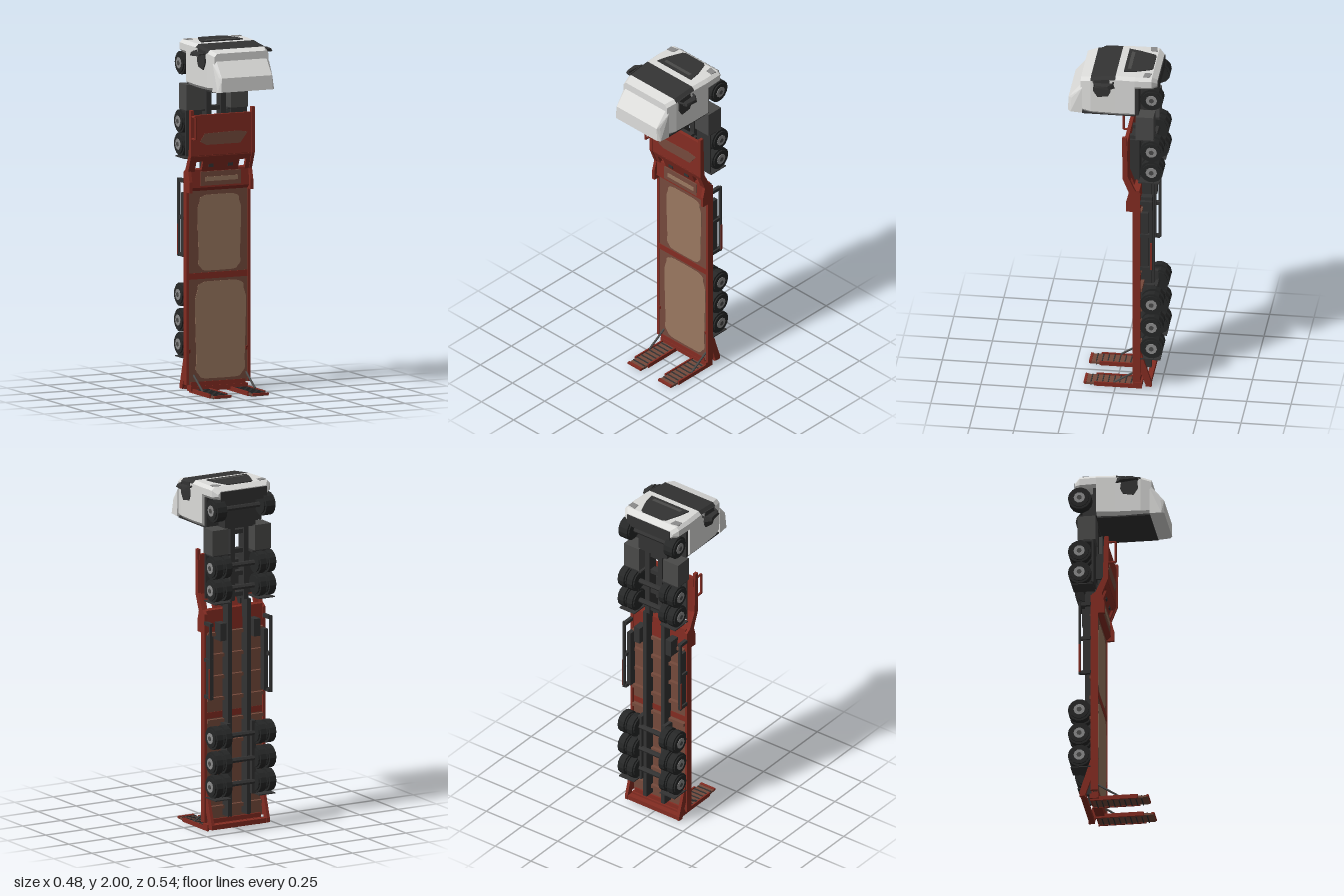
import * as THREE from 'three';
import { ConvexGeometry } from 'three/addons/geometries/ConvexGeometry.js';

const mat = (name, color, side = THREE.FrontSide) => {
  const m = new THREE.MeshStandardMaterial({ color, side, flatShading: true });
  m.name = name;
  return m;
};

export function createModel() {
  const root = new THREE.Group();
  root.name = 'lowLoaderTruck';
  const white = mat('cabWhite', 0xdcdcda), dark = mat('darkMetal', 0x333333);
  const tyre = mat('tyreRubber', 0x262727), hub = mat('hubGrey', 0x8c8c8c);
  const grey = mat('tankGrey', 0x4a4a49), red = mat('trailerRed', 0x842c22);
  const brown = mat('deckBrown', 0x754a3c), tan = mat('wornTan', 0x9a7860);

  const add = (name, geo, m) => {
    const mesh = new THREE.Mesh(geo, m);
    mesh.name = name;
    root.add(mesh);
    return mesh;
  };
  // box from its limits
  const box = (name, m, x0, x1, y0, y1, z0, z1) => add(name,
    new THREE.BoxGeometry(Math.abs(x1 - x0), y1 - y0, z1 - z0)
      .translate((x0 + x1) / 2, (y0 + y1) / 2, (z0 + z1) / 2), m);
  // mirrored pair of boxes
  const pair = (name, m, x0, x1, ...r) => [1, -1].forEach(s => box(name, m, s * x0, s * x1, ...r));
  const shapeOf = pts => new THREE.Shape(pts.map(p => new THREE.Vector2(...p)));
  const extrude = (pts, depth) => new THREE.ExtrudeGeometry(shapeOf(pts), { depth, bevelEnabled: false });
  // (z, y) outline extruded across x
  const sidePlate = (name, m, pts, x0, x1) => add(name,
    extrude(pts, x1 - x0).rotateY(-Math.PI / 2).translate(x1, 0, 0), m);
  // (x, z) outline extruded along y
  const nosePlate = (name, m, pts, y, d) => add(name,
    extrude(pts.map(([x, z]) => [x, -z]), d).rotateX(-Math.PI / 2).translate(0, y, 0), m);
  // square bar between two points
  const bar = (name, m, a, b, r = 0.006) => {
    const A = new THREE.Vector3(...a), B = new THREE.Vector3(...b), d = B.clone().sub(A);
    const mesh = add(name, new THREE.CylinderGeometry(r, r, d.length(), 6), m);
    mesh.position.copy(A).add(B).multiplyScalar(0.5);
    mesh.quaternion.setFromUnitVectors(new THREE.Vector3(0, 1, 0), d.normalize());
  };

  // cab shell: chamfered sections [z, half width, rear y, nose y]
  const sections = [
    [-0.235, 0.165, 1.925, 1.972], [-0.205, 0.19, 1.92, 1.994], [-0.11, 0.195, 1.92, 1.994],
    [-0.11, 0.195, 1.75, 1.994], [0, 0.19, 1.745, 1.992], [0.14, 0.185, 1.745, 1.975], [0.198, 0.168, 1.75, 1.96]];
  const ring = ([z, w, b, f]) => {
    const c = 0.018;
    return [[w, b + c], [w, f - c], [w - c, f], [c - w, f], [-w, f - c], [-w, b + c], [c - w, b], [w - c, b]]
      .map(([x, y]) => [x, y, z]);
  };
  const shell = [], glass = [];
  for (let s = 0; s < sections.length - 1; s++) {
    const a = ring(sections[s]), b = ring(sections[s + 1]);
    for (let i = 0; i < 8; i++) {
      const j = (i + 1) % 8;
      const out = s === 4 && i >= 1 && i <= 3 ? glass : shell;
      out.push(a[i], a[j], b[j], a[i], b[j], b[i]);
    }
  }
  const top = ring(sections[6]), low = ring(sections[0]);
  for (let i = 1; i < 7; i++) shell.push(top[0], top[i], top[i + 1], low[0], low[i + 1], low[i]);
  const fromTris = tris => {
    const g = new THREE.BufferGeometry();
    g.setAttribute('position', new THREE.Float32BufferAttribute(tris.flat(), 3));
    g.computeVertexNormals();
    return g;
  };
  add('cabShell', fromTris(shell), white);
  add('windscreen', fromTris(glass), dark);

  // roof fairing
  const fairing = [];
  for (const s of [-1, 1]) {
    for (const [x, y, z] of [[0.178, 1.745, 0.19], [0.175, 1.9, 0.19], [0.155, 1.92, 0.195],
      [0.175, 1.748, 0.255], [0.16, 1.75, 0.27], [0.155, 1.83, 0.268], [0.165, 1.83, 0.25]])
      fairing.push(new THREE.Vector3(s * x, y, z));
  }
  add('roofFairing', new ConvexGeometry(fairing), white);

  // cab face details
  nosePlate('grille', dark, [[-0.135, -0.04], [-0.12, -0.1], [-0.085, -0.19], [-0.07, -0.2],
    [0.07, -0.2], [0.085, -0.19], [0.115, -0.11], [0.125, -0.04]], 1.992, 0.007);
  box('grilleStrip', grey, -0.1, 0.095, 1.998, 2, -0.078, -0.058);
  for (const s of [-1, 1]) {
    nosePlate('headlight', hub, [[s * 0.125, -0.2], [s * 0.175, -0.19], [s * 0.172, -0.155], [s * 0.13, -0.16]], 1.991, 0.006);
    const window = [[0.04, 1.87], [0.025, 1.9], [0.035, 1.975], [0.12, 1.965], [0.125, 1.9], [0.1, 1.86]];
    sidePlate('sideWindow', dark, window, s > 0 ? 0.186 : -0.193, s > 0 ? 0.193 : -0.186);
    // mirrors
    add('mirror', new ConvexGeometry([[0.205, 1.93, 0.0], [0.24, 1.935, 0.03], [0.235, 1.94, 0.11], [0.212, 1.94, 0.115],
      [0.205, 1.96, 0.01], [0.238, 1.955, 0.04], [0.232, 1.955, 0.1], [0.212, 1.96, 0.11]]
      .map(([x, y, z]) => new THREE.Vector3(s * x, y, z))), dark);
    bar('mirrorArm', dark, [s * 0.18, 1.955, 0.125], [s * 0.22, 1.95, 0.11]);
    bar('mirrorArm', dark, [s * 0.18, 1.96, 0.01], [s * 0.21, 1.95, 0.015]);
  }
  box('cabRearPanel', dark, -0.17, 0.17, 1.738, 1.748, -0.11, 0.19);
  box('cabFloor', dark, -0.18, 0.18, 1.75, 1.92, -0.13, -0.108);
  box('engineCover', dark, -0.1, 0.1, 1.74, 1.93, -0.2, -0.12);
  box('bumperUnderside', dark, -0.15, 0.15, 1.9, 1.968, -0.24, -0.2);

  // tractor chassis
  pair('tractorRail', dark, 0.03, 0.06, 1.32, 1.9, -0.19, -0.13);
  pair('fuelTank', grey, 0.085, 0.19, 1.6, 1.745, -0.215, -0.115);
  pair('tankStep', dark, 0.07, 0.185, 1.59, 1.6, -0.215, -0.13);
  pair('driveFender', dark, 0.09, 0.19, 1.34, 1.6, -0.136, -0.126);
  box('fifthWheel', dark, -0.09, 0.09, 1.4, 1.54, -0.13, -0.07);
  [1.34, 1.46, 1.59, 1.7].forEach(y => box('tractorCrossmember', dark, -0.06, 0.06, y, y + 0.025, -0.18, -0.14));

  // wheels and axles
  const wheel = (y, s, inner, outer) => {
    const w = outer - inner, x = s * (inner + outer) / 2, z = -0.205;
    add('tyre', new THREE.CylinderGeometry(0.066, 0.066, w - 0.016, 14).rotateZ(Math.PI / 2).translate(x, y, z), tyre);
    add('tyreWall', new THREE.CylinderGeometry(0.054, 0.054, w, 14).rotateZ(Math.PI / 2).translate(x, y, z), tyre);
  };
  for (const y of [1.86, 1.53, 1.4, 0.55, 0.405, 0.27]) {
    for (const s of [-1, 1]) {
      if (y > 1.8) wheel(y, s, 0.12, 0.195);
      else { wheel(y, s, 0.085, 0.138); wheel(y, s, 0.144, 0.2); }
      const face = y > 1.8 ? 0.195 : 0.2;
      add('hub', new THREE.CylinderGeometry(0.032, 0.032, 0.006, 10).rotateZ(Math.PI / 2).translate(s * face, y, -0.205), hub);
      add('hubCap', new THREE.CylinderGeometry(0.014, 0.014, 0.012, 8).rotateZ(Math.PI / 2).translate(s * face, y, -0.205), grey);
    }
    bar('axle', dark, [-0.15, y, -0.205], [0.15, y, -0.205], 0.015);
  }
  pair('mudflap', dark, 0.09, 0.195, 1.325, 1.331, -0.25, -0.13);
  pair('mudflap', dark, 0.09, 0.195, 0.195, 0.201, -0.255, -0.14);

  // trailer deck
  box('deck', brown, -0.185, 0.185, 0.05, 1.15, -0.13, -0.106);
  pair('deckSideRail', red, 0.183, 0.198, 0.05, 1.2, -0.142, -0.1);
  box('deckMidStrip', red, -0.185, 0.185, 0.645, 0.68, -0.132, -0.103);
  box('deckRearStrip', red, -0.17, 0.17, 0.03, 0.065, -0.14, -0.103);
  const patch = (x0, x1, y0, y1) => {
    const pts = [], cx = (x0 + x1) / 2, cy = (y0 + y1) / 2;
    for (let i = 0; i < 48; i++) {
      const t = i / 48 * Math.PI * 2, c = Math.cos(t), s = Math.sin(t);
      const k = 1 + 0.03 * Math.sin(t * 9);
      pts.push([cx + Math.sign(c) * Math.abs(c) ** 0.3 * k * (x1 - x0) / 2, cy + Math.sign(s) * Math.abs(s) ** 0.3 * (y1 - y0) / 2]);
    }
    add('wornDeckPatch', extrude(pts, 0.003).translate(0, 0, -0.107), tan);
  };
  patch(-0.125, 0.14, 0.69, 1.12);
  patch(-0.14, 0.17, 0.08, 0.63);

  // trailer underframe
  pair('trailerRail', dark, 0.05, 0.075, 0.08, 1.32, -0.19, -0.13);
  for (let i = 0; i < 9; i++) box('deckCrossbeam', brown, -0.18, 0.18, 0.12 + i * 0.125, 0.14 + i * 0.125, -0.15, -0.13);
  pair('suspensionBeam', dark, 0.07, 0.095, 0.2, 0.62, -0.21, -0.14);
  pair('sideLocker', dark, 0.165, 0.19, 0.78, 1.13, -0.185, -0.143);
  pair('rackRail', dark, 0.19, 0.203, 0.77, 1.21, -0.21, -0.196);
  pair('rackStripe', red, 0.203, 0.206, 0.78, 0.95, -0.209, -0.198);
  [0.77, 0.98, 1.19].forEach(y => pair('rackPost', dark, 0.18, 0.2, y, y + 0.02, -0.205, -0.14));
  pair('landingLeg', dark, 0.09, 0.13, 1.1, 1.2, -0.2, -0.13);

  // gooseneck
  const arm = [[-0.04, 1.61], [-0.065, 1.61], [-0.072, 1.36], [-0.115, 1.27], [-0.142, 1.25], [-0.142, 1.14],
    [-0.062, 1.14], [-0.062, 1.2], [-0.078, 1.26], [-0.042, 1.35]];
  for (const x of [-0.198, 0.18]) sidePlate('gooseneckArm', red, arm, x, x + 0.018);
  box('gooseneckPlate', red, -0.185, 0.185, 1.345, 1.58, -0.068, -0.048);
  const slope = [[-0.048, 1.35], [-0.068, 1.35], [-0.105, 1.255], [-0.085, 1.255]];
  for (const [a, b] of [[-0.183, -0.155], [-0.113, 0.113], [0.155, 0.183]]) sidePlate('gooseneckSlope', red, slope, a, b);
  const lip = [[-0.047, 1.352], [-0.068, 1.352], [-0.082, 1.315], [-0.062, 1.315]];
  sidePlate('gooseneckLip', red, lip, -0.183, 0.183);
  add('wornNeckPatch', extrude([[-0.14, 1.43], [-0.1, 1.41], [0.11, 1.41], [0.155, 1.47], [0.1, 1.48], [-0.11, 1.475]], 0.003)
    .translate(0, 0, -0.049), brown);
  sidePlate('neckStep', red, [[-0.085, 1.268], [-0.135, 1.268], [-0.14, 1.145], [-0.1, 1.145], [-0.08, 1.165]], -0.183, 0.183);
  box('stepPanel', brown, -0.12, 0.13, 1.175, 1.255, -0.09, -0.078);
  box('stepWear', tan, -0.09, 0.11, 1.2, 1.225, -0.079, -0.075);
  pair('neckBeam', dark, 0.045, 0.075, 1.28, 1.56, -0.12, -0.068);

  // hand rail on one side of the gooseneck
  const rail = [[0.0, 1.45], [0.0, 1.575], [-0.055, 1.575], [-0.055, 1.45]];
  rail.forEach(([z, y], i) => {
    const [z2, y2] = rail[(i + 1) % 4];
    bar('handRail', red, [-0.19, y, z], [-0.19, y2, z2], 0.007);
  });

  // tail frame and folded ramps
  const tail = [[-0.1, 0.25], [-0.14, 0.25], [-0.205, 0.045], [-0.205, 0.02], [-0.175, 0.02], [-0.12, 0.18]];
  for (const x of [-0.19, 0.172]) sidePlate('tailBracket', red, tail, x, x + 0.018);
  box('tailBeam', red, -0.175, 0.185, 0.018, 0.045, -0.2, -0.17);
  box('tailSill', red, -0.17, 0.185, 0.012, 0.04, -0.15, -0.1);
  for (const cx of [-0.105, 0.13]) {
    box('rampPlate', brown, cx - 0.048, cx + 0.048, 0.006, 0.018, -0.14, 0.175);
    for (const s of [-1, 1]) box('rampEdge', red, cx + s * 0.046, cx + s * 0.055, 0.002, 0.026, -0.15, 0.12);
    box('rampTip', red, cx - 0.05, cx + 0.05, 0.01, 0.022, 0.165, 0.18);
    for (let i = 0; i < 9; i++) box('rampCleat', dark, cx - 0.045, cx + 0.045, 0.0, 0.023, -0.12 + i * 0.032, -0.114 + i * 0.032);
    const ox = cx + Math.sign(cx) * 0.045;
    bar('rampStrut', grey, [ox, 0.025, 0.01], [ox, 0.11, -0.12]);
  }
  return root;
}
